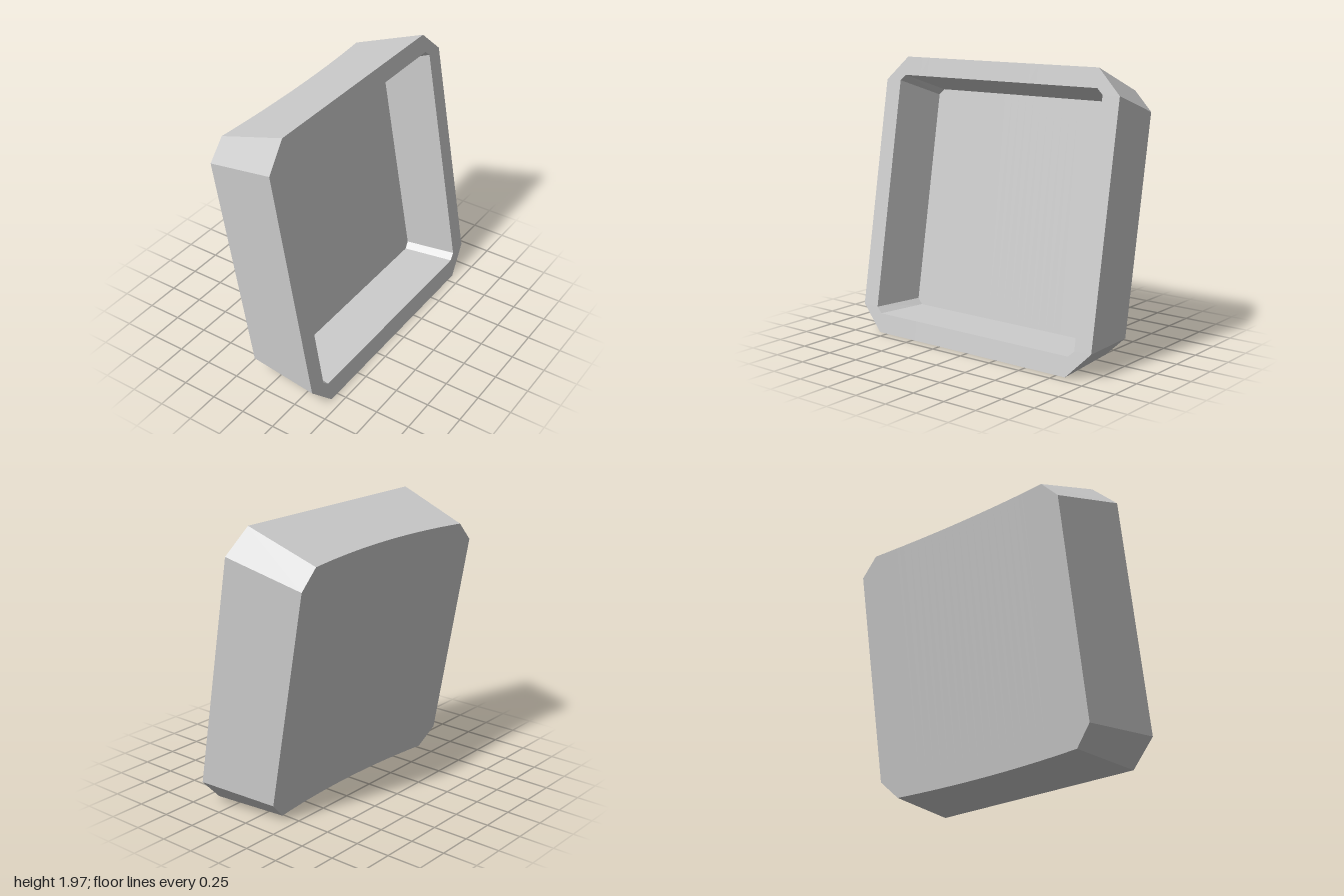
import * as THREE from 'three';

const N = 25; // points along each top and bottom edge
const M = 2 * N + 4;

// Eight-sided ring with chamfered corners, its top and bottom edges subdivided.
// Clockwise as seen from +x. place(y, z, edge) gives each point.
function ring(zSide, zEdge, yTop, yTopSide, yBotSide, yBot, place) {
  const pts = [];
  for (let i = 0; i < N; i++) pts.push(place(yTop, zEdge * (1 - 2 * i / (N - 1)), 'top'));
  pts.push(place(yTopSide, -zSide, 'side'), place(yBotSide, -zSide, 'side'));
  for (let i = 0; i < N; i++) pts.push(place(yBot, zEdge * (2 * i / (N - 1) - 1), 'bottom'));
  pts.push(place(yBotSide, zSide, 'side'), place(yTopSide, zSide, 'side'));
  return pts;
}

function geometryFrom(points, index, flat) {
  let geo = new THREE.BufferGeometry().setFromPoints(points);
  geo.setIndex(index);
  if (flat) geo = geo.toNonIndexed();
  geo.computeVertexNormals();
  return geo;
}

// Flat-sided wall between two matching rings
function loft(a, b) {
  const index = [];
  for (let i = 0; i < M; i++) {
    const j = (i + 1) % M;
    index.push(i, j, M + j, i, M + j, M + i);
  }
  return geometryFrom([...a, ...b], index, true);
}

// Surface filling a ring, in strips from its top edge to its bottom edge
function cap(points, flip) {
  const index = [];
  for (let j = -1; j < N; j++) {
    const t0 = (j + M) % M, t1 = j + 1, b0 = 2 * N + 1 - j, b1 = 2 * N - j;
    if (flip) index.push(t0, b1, t1, t0, b0, b1);
    else index.push(t0, t1, b1, t0, b1, b0);
  }
  return geometryFrom(points, index, false);
}

export function createModel() {
  const group = new THREE.Group();
  group.name = 'keycap';
  const grey = new THREE.MeshStandardMaterial({ color: 0xcccccc });
  grey.name = 'light grey';

  const V = (x, y, z) => new THREE.Vector3(x, y, z);
  const rimPlane = (y, z) => V(0.43 - 0.175 * y, y, z);
  const floorPlane = (y, z) => V(0.064 - 0.175 * y, y, z);

  // Dished face: its edges bow inward along the sloping walls
  const dish = (y, z, edge) => {
    const bow = 0.083 * (0.593 - z * z);
    if (edge === 'top') return V(-0.435 + 0.94 * bow, y + 0.343 * bow, z);
    if (edge === 'bottom') return V(-0.12 + bow, y, z);
    return V(-0.136 - 0.179 * y, y, z);
  };

  const outerRim = ring(1, 0.82, 1.97, 1.8, 0.18, 0, rimPlane);
  const innerRim = ring(0.87, 0.825, 1.84, 1.8, 0.175, 0.135, rimPlane);
  const floorRing = ring(0.8, 0.76, 1.715, 1.675, 0.175, 0.135, floorPlane);
  const dishRing = ring(0.9, 0.77, 1.78, 1.645, 0.135, 0.005, dish);

  const add = (name, geo) => {
    const mesh = new THREE.Mesh(geo, grey);
    mesh.name = name;
    group.add(mesh);
  };
  add('outerWalls', loft(outerRim, dishRing));
  add('rim', loft(innerRim, outerRim));
  add('cavityWalls', loft(floorRing, innerRim));
  add('cavityFloor', cap(floorRing, true));
  add('dishedFace', cap(dishRing, false));
  return group;
}
